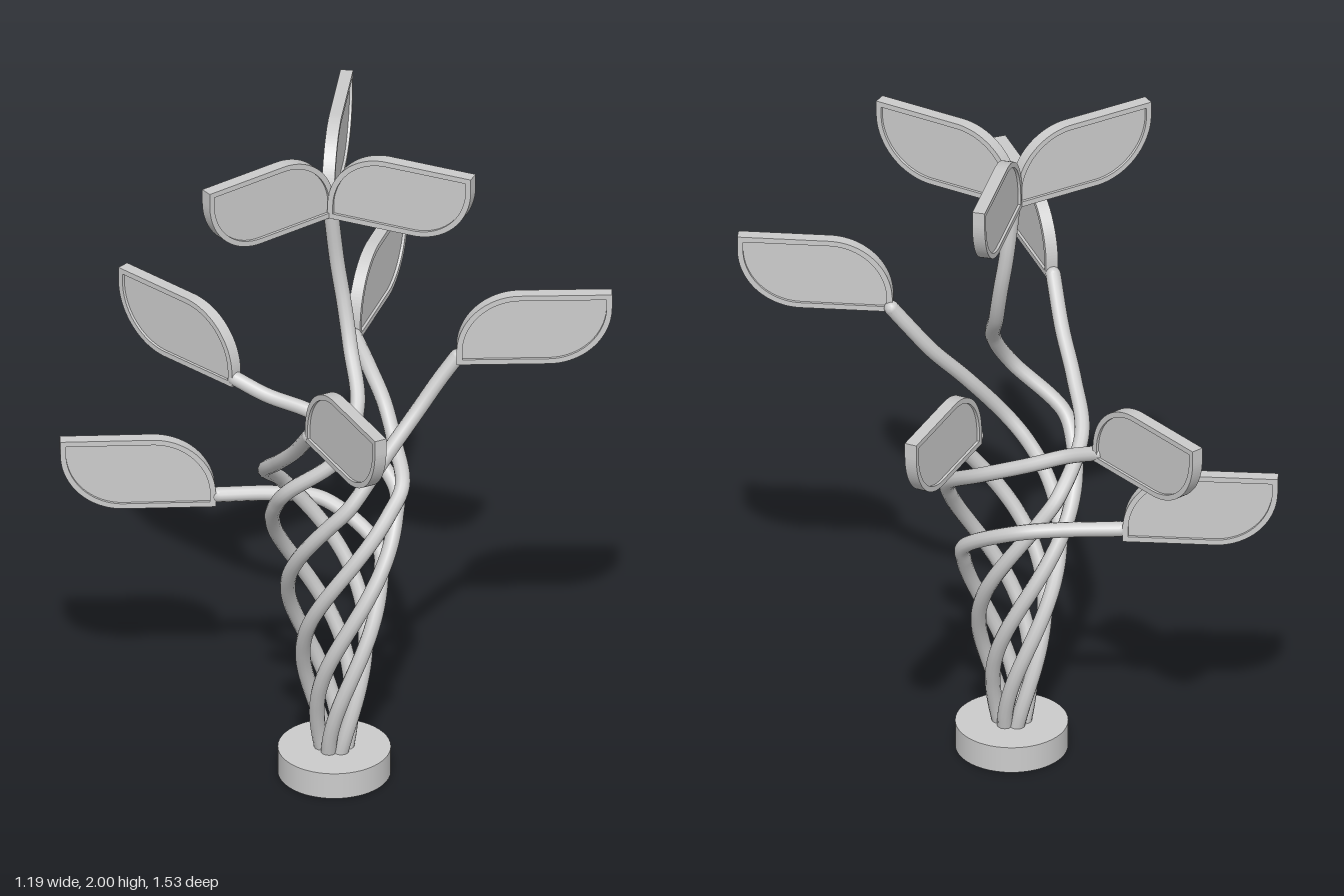
import * as THREE from 'three';

const CX = -0.05, CZ = 0.045; // axis of the twisted bundle
const LEN = 0.44, HIGH = 0.22, THICK = 0.036, CORNER = 0.18;
const STEM_R = 0.022;
const material = new THREE.MeshStandardMaterial({ color: 0xcccccc });

function addMesh(parent, geometry, name) {
  const mesh = new THREE.Mesh(geometry, material);
  mesh.name = name;
  parent.add(mesh);
  return mesh;
}

// Leaf outline: two sharp and two round opposite corners, shrunk by an inset
function outline(target, inset) {
  const x0 = inset, x1 = LEN - inset, y0 = inset, y1 = HIGH - inset;
  const r = CORNER - inset;
  target.moveTo(x0, y0);
  target.lineTo(x1 - r, y0);
  target.absarc(x1 - r, y0 + r, r, -Math.PI / 2, 0, false);
  target.lineTo(x1, y1);
  target.lineTo(x0 + r, y1);
  target.absarc(x0 + r, y1 - r, r, Math.PI / 2, Math.PI, false);
  target.closePath();
  return target;
}

function extrude(shape, depth) {
  const geometry = new THREE.ExtrudeGeometry(shape, { depth, bevelEnabled: false, curveSegments: 16 });
  return geometry.translate(0, 0, -depth / 2);
}

// Upright leaf plate with a raised rim, pointing from its foot towards (tx, tz)
function makeLeaf(name, x, y, z, tx, tz) {
  const leaf = new THREE.Group();
  leaf.name = name;
  const rim = outline(new THREE.Shape(), 0);
  rim.holes.push(outline(new THREE.Path(), 0.016));
  addMesh(leaf, extrude(rim, THICK), 'leafRim');
  addMesh(leaf, extrude(outline(new THREE.Shape(), 0.015), THICK - 0.016), 'leafPanel');
  leaf.position.set(x, y, z);
  leaf.rotation.y = Math.atan2(z - tz, tx - x);
  return leaf;
}

// Point on the widening spiral at height y; phase in degrees
function spiral(y, phase) {
  const angle = THREE.MathUtils.degToRad(90 + (0.82 - y) * 250 + phase);
  const r = 0.035 + 0.19 * (y - 0.08);
  return new THREE.Vector3(CX + r * Math.cos(angle), y, CZ + r * Math.sin(angle));
}

// Stem that climbs the spiral up to `top`, then follows its own outward points
function makeStem(name, phase, top, tail) {
  const stem = new THREE.Group();
  stem.name = name;
  const steps = Math.round((top - 0.06) / 0.07);
  const points = [];
  for (let i = 0; i <= steps; i++) points.push(spiral(0.06 + (top - 0.06) * i / steps, phase));
  for (const p of tail) points.push(new THREE.Vector3(...p));
  const curve = new THREE.CatmullRomCurve3(points, false, 'centripetal');
  addMesh(stem, new THREE.TubeGeometry(curve, 110, STEM_R, 12, false), 'stemTube');
  const tip = addMesh(stem, new THREE.SphereGeometry(STEM_R, 12, 8), 'stemTip');
  tip.position.copy(points[points.length - 1]);
  return stem;
}

export function createModel() {
  const model = new THREE.Group();
  model.name = 'leafSculpture';

  // Round foot
  const base = addMesh(model, new THREE.CylinderGeometry(0.16, 0.16, 0.08, 48), 'base');
  base.position.set(CX, 0.04, CZ);

  // Six intertwined stems
  const stems = [
    ['lowBackStem', -120, 0.68, [[0.03, 0.785, -0.11], [-0.08, 0.805, -0.19], [-0.22, 0.81, -0.275]]],
    ['backStem', -60, 0.88, [[0.11, 0.98, -0.07], [0.03, 1.04, -0.18], [-0.06, 1.085, -0.26], [-0.11, 1.12, -0.34]]],
    ['leftBackStem', 0, 0.96, [[0.12, 1.04, 0.1], [0.145, 1.12, 0.02], [0.17, 1.175, -0.08], [0.215, 1.205, -0.21]]],
    ['leftFrontStem', 60, 0.96, [[-0.02, 1.1, 0.245], [0.09, 1.22, 0.255], [0.15, 1.3, 0.27], [0.2, 1.37, 0.29]]],
    ['topStem', 120, 1.0, [[-0.15, 1.13, 0.21], [-0.07, 1.25, 0.18], [-0.02, 1.38, 0.08],
      [-0.005, 1.5, 0.03], [-0.01, 1.62, 0.005], [-0.03, 1.8, 0]]],
    ['rightFrontStem', 180, 0.88, [[-0.23, 1.0, -0.04], [-0.28, 1.1, 0.09], [-0.31, 1.2, 0.21], [-0.345, 1.31, 0.32]]],
  ];
  for (const s of stems) model.add(makeStem(...s));

  // Single leaves on the side stems, three leaves on the top stem
  const leaves = [
    ['lowBackLeaf', -0.225, 0.78, -0.28, -0.59, -0.53],
    ['backLeaf', -0.11, 1.1, -0.335, -0.185, -0.77],
    ['leftBackLeaf', 0.22, 1.19, -0.22, 0.585, -0.475],
    ['leftFrontLeaf', 0.19, 1.36, 0.3, 0.555, 0.56],
    ['rightFrontLeaf', -0.345, 1.3, 0.325, -0.425, 0.765],
    ['topRightLeaf', -0.03, 1.78, 0, -0.47, 0],
    ['topBackLeaf', -0.035, 1.78, -0.005, 0.265, -0.315],
    ['topFrontLeaf', -0.035, 1.78, 0.005, 0.18, 0.38],
  ];
  for (const l of leaves) model.add(makeLeaf(...l));

  return model;
}
